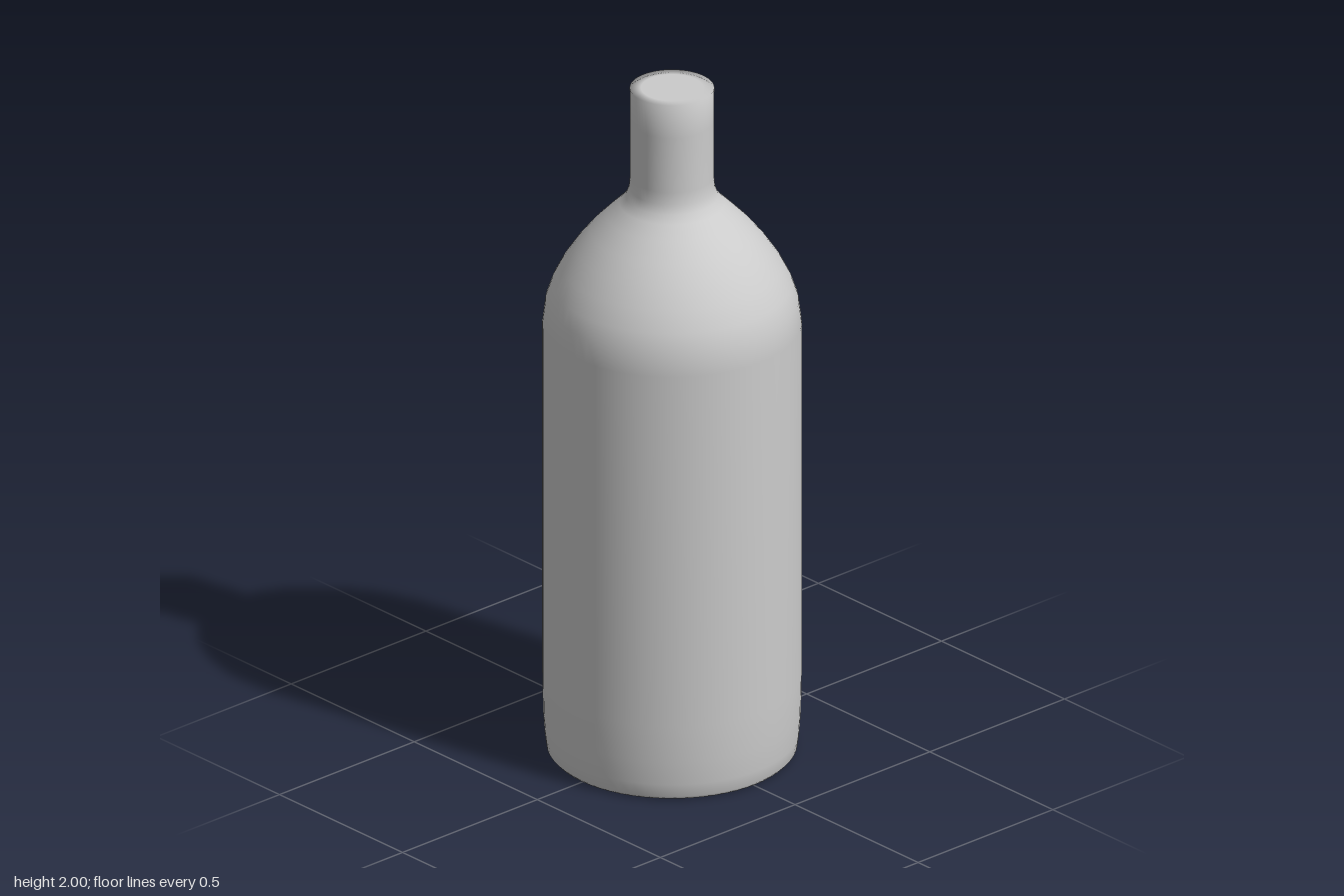
import * as THREE from 'three';

export function createModel() {
  const group = new THREE.Group();
  group.name = 'bottle';

  // Half outline [radius, height], from the centre of the base to the centre of the closed top
  const outline = [
    [0, 0], [0.29, 0], [0.335, 0.002], [0.344, 0.012], [0.349, 0.05], [0.354, 0.12], [0.356, 0.23],
    [0.356, 1.29], [0.347, 1.36], [0.33, 1.41], [0.302, 1.465], [0.265, 1.52],
    [0.225, 1.57], [0.18, 1.617], [0.145, 1.652], [0.127, 1.674], [0.118, 1.7], [0.115, 1.735],
    [0.115, 1.9], [0.116, 2], [0.085, 2], [0, 2],
  ].map(([r, y]) => new THREE.Vector2(r, y));

  const body = new THREE.Mesh(
    new THREE.LatheGeometry(outline, 64),
    new THREE.MeshStandardMaterial({ color: 0xcccccc }),
  );
  body.name = 'bottleBody';
  group.add(body);
  return group;
}
